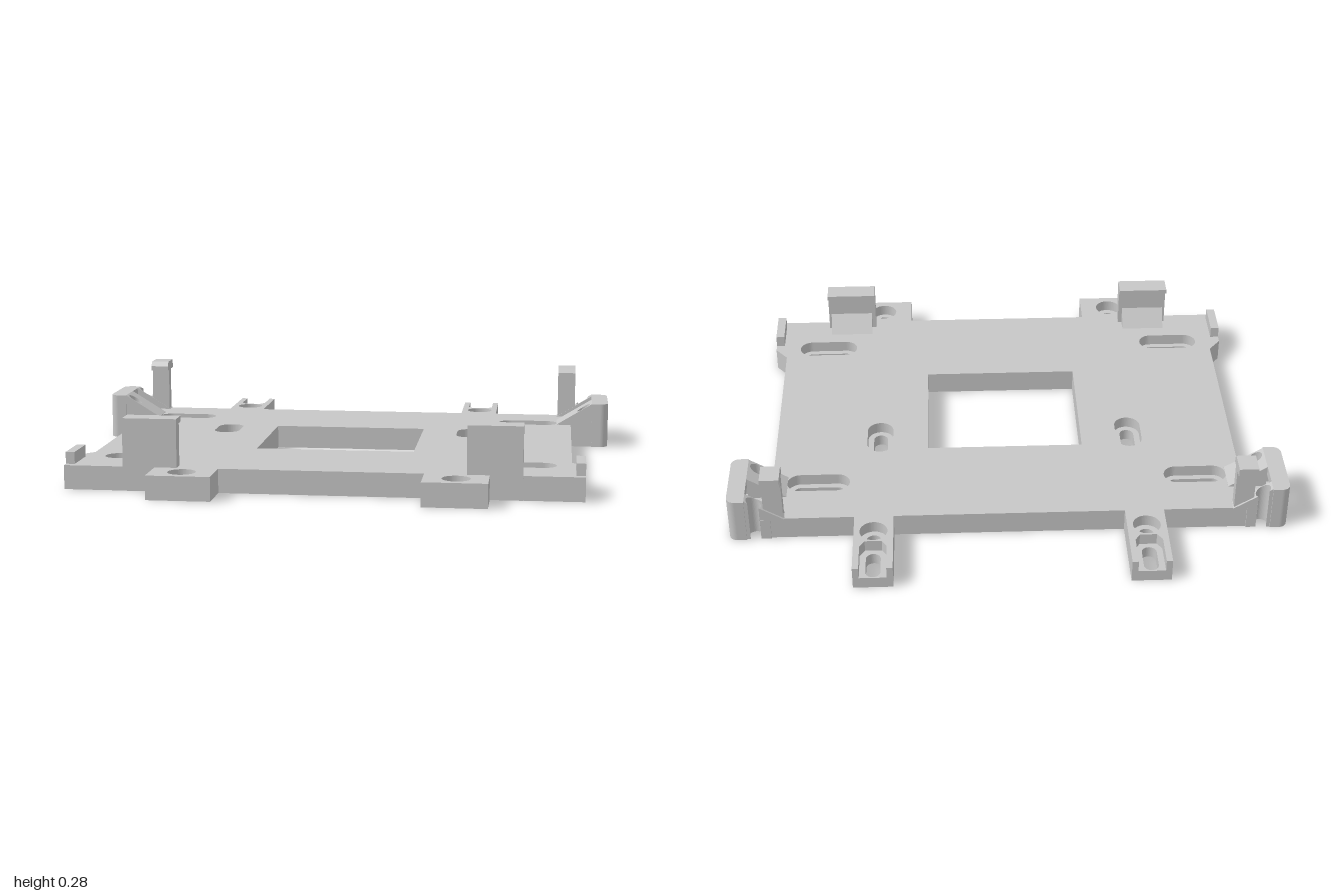
import * as THREE from 'three';

const H = 0.085;      // plate thickness
const STEP = 0.042;   // floor of the counterbores

// Plan shapes are drawn in (x, z); z is flipped so the extrusion rises along +y.
const outline = (pts) => new THREE.Shape(pts.map(([x, z]) => new THREE.Vector2(x, -z)));
const rect = (x0, x1, z0, z1) => outline([[x0, z1], [x1, z1], [x1, z0], [x0, z0]]);

// Stadium (or circle when half = 0), lying along x or along z
function stadium(x, z, half, r, alongZ) {
  const p = new THREE.Path(), a = alongZ ? Math.PI / 2 : 0;
  const dx = alongZ ? 0 : half, dy = alongZ ? half : 0;
  p.absarc(x + dx, -z + dy, r, a - Math.PI / 2, a + Math.PI / 2, false);
  p.absarc(x - dx, -z - dy, r, a + Math.PI / 2, a + Math.PI * 1.5, false);
  return p;
}

function slab(shape, y0, y1) {
  const g = new THREE.ExtrudeGeometry(shape, { depth: y1 - y0, bevelEnabled: false, curveSegments: 14 });
  return g.rotateX(-Math.PI / 2).translate(0, y0, 0);
}

// Side profile in (z, y), extruded along x
function profile(pts, x0, x1) {
  const s = new THREE.Shape(pts.map(([z, y]) => new THREE.Vector2(-z, y)));
  const g = new THREE.ExtrudeGeometry(s, { depth: x1 - x0, bevelEnabled: false });
  return g.rotateY(Math.PI / 2).translate(x0, 0, 0);
}

// Plan rectangle with its two outer (+x) corners rounded
function roundedOuter(x0, x1, z0, z1, r0, r1) {
  const s = new THREE.Shape();
  s.moveTo(x0, -z1);
  s.lineTo(x1 - r1, -z1);
  if (r1) s.absarc(x1 - r1, -z1 + r1, r1, -Math.PI / 2, 0, false);
  s.lineTo(x1, -z0 - r0);
  if (r0) s.absarc(x1 - r0, -z0 - r0, r0, 0, Math.PI / 2, false);
  s.lineTo(x0, -z0);
  return s;
}

// Half of the plate outline, from back centre to front centre
const HALF = [[0.412, -0.572], [0.412, -0.853], [0.552, -0.853], [0.552, -0.572], [0.855, -0.572],
  [0.855, 0.452], [0.9, 0.507], [0.9, 0.708], [0.578, 0.708], [0.578, 0.853], [0.355, 0.853], [0.355, 0.708]];

// Same half with the back tabs notched open for the upper layer
const HALF_TOP = [HALF[0], HALF[1], [0.434, -0.853], [0.434, -0.735], [0.452, -0.708], [0.512, -0.708],
  [0.53, -0.735], [0.53, -0.853], ...HALF.slice(2)];

function plateLayer(half, y0, y1, upper) {
  const left = half.map(([x, z]) => [-x, z]).reverse();
  const shape = outline([...half, ...left].reverse());
  const grow = upper ? 0.022 : 0;
  shape.holes.push(rect(-0.287, 0.287, -0.175, 0.311));
  for (const s of [1, -1]) {
    shape.holes.push(
      stadium(s * 0.688, -0.37, 0.067, 0.025 + grow, false),
      stadium(s * 0.688, 0.511, 0.067, 0.025 + grow, false),
      stadium(s * 0.468, -0.1, 0.042, 0.026 + grow, true),
      stadium(s * 0.482, -0.653, 0, 0.027 + grow, false),
      stadium(s * 0.468, 0.778, 0, 0.027 + grow, false));
    if (!upper) shape.holes.push(stadium(s * 0.482, -0.788, 0.035, 0.026, true));
  }
  return slab(shape, y0, y1);
}

export function createModel() {
  const model = new THREE.Group();
  model.name = 'mountingPlate';
  const grey = new THREE.MeshStandardMaterial({ color: 0xc6c6c6 });
  grey.name = 'light grey';

  const add = (parent, name, geometry) => {
    const m = new THREE.Mesh(geometry, grey);
    m.name = name;
    parent.add(m);
  };

  // Base plate in two layers, giving the holes their stepped seats
  add(model, 'plateLower', plateLayer(HALF, 0, STEP, false));
  add(model, 'plateUpper', plateLayer(HALF_TOP, STEP, H, true));

  for (const s of [1, -1]) {
    const side = new THREE.Group();
    side.name = s > 0 ? 'leftFittings' : 'rightFittings';
    side.scale.x = s;
    model.add(side);

    // Front clip with inward lip and ramp
    add(side, 'frontClip', profile([[0.71, 0], [0.71, 0.255], [0.634, 0.255], [0.634, 0.238],
      [0.642, 0.234], [0.664, 0.234], [0.664, 0]], 0.5, 0.69));
    add(side, 'frontClipRamp', profile([[0.665, H - 0.01], [0.665, 0.155], [0.614, H], [0.614, H - 0.01]], 0.515, 0.68));

    // Low rail on the front corner
    add(side, 'cornerRail', slab(rect(0.868, 0.9, 0.539, 0.682), H - 0.01, 0.127));

    // Rear hook
    add(side, 'rearHook', profile([[-0.571, H - 0.01], [-0.571, 0.25], [-0.608, 0.25], [-0.608, 0.284],
      [-0.527, 0.284], [-0.513, 0.266], [-0.513, 0.248], [-0.535, 0.248], [-0.535, H - 0.01]], 0.803, 0.872));

    // Rear bracket: outer wall with a window, rounded at both ends
    const bracket = new THREE.Group();
    bracket.name = 'rearBracket';
    side.add(bracket);
    const full = roundedOuter(0.937, 1, -0.583, -0.33, 0.03, 0.03);
    add(bracket, 'wallBottom', slab(full, 0, 0.042));
    add(bracket, 'wallTop', slab(full, 0.136, 0.17));
    add(bracket, 'wallBackPost', slab(roundedOuter(0.937, 1, -0.583, -0.533, 0.03, 0), 0.042, 0.136));
    add(bracket, 'wallFrontPost', slab(roundedOuter(0.937, 1, -0.372, -0.33, 0, 0.03), 0.042, 0.136));

    // Bracket floor and sloped gussets, pierced by two round holes
    const notched = (x0) => {
      const p = outline([[x0, -0.533], [0.937, -0.533], [0.937, -0.578], [0.924, -0.578]]);
      p.absarc(0.905, 0.561, 0.026, Math.PI * 0.24, Math.PI * 0.76, true);
      p.lineTo(0.886, 0.578);
      p.lineTo(x0, 0.578);
      return p;
    };
    const pierced = (x0) => {
      const p = rect(x0, 0.937, -0.45, -0.334);
      p.holes.push(stadium(0.905, -0.365, 0, 0.025, false));
      return p;
    };
    add(bracket, 'floorBack', slab(notched(0.85), 0, H));
    add(bracket, 'floorFront', slab(pierced(0.85), 0, H));
    add(bracket, 'floorMiddle', slab(rect(0.85, 0.94, -0.533, -0.45), 0, H));
    for (const [name, shape] of [['gussetBack', notched(0.8)], ['gussetFront', pierced(0.8)]]) {
      const g = slab(shape, H, 0.17), p = g.attributes.position;
      for (let i = 0; i < p.count; i++) {
        if (p.getY(i) > 0.12) p.setY(i, H + 0.001 + (p.getX(i) - 0.8) / 0.137 * (0.169 - H));
      }
      g.computeVertexNormals();
      add(bracket, name, g);
    }
  }
  return model;
}
